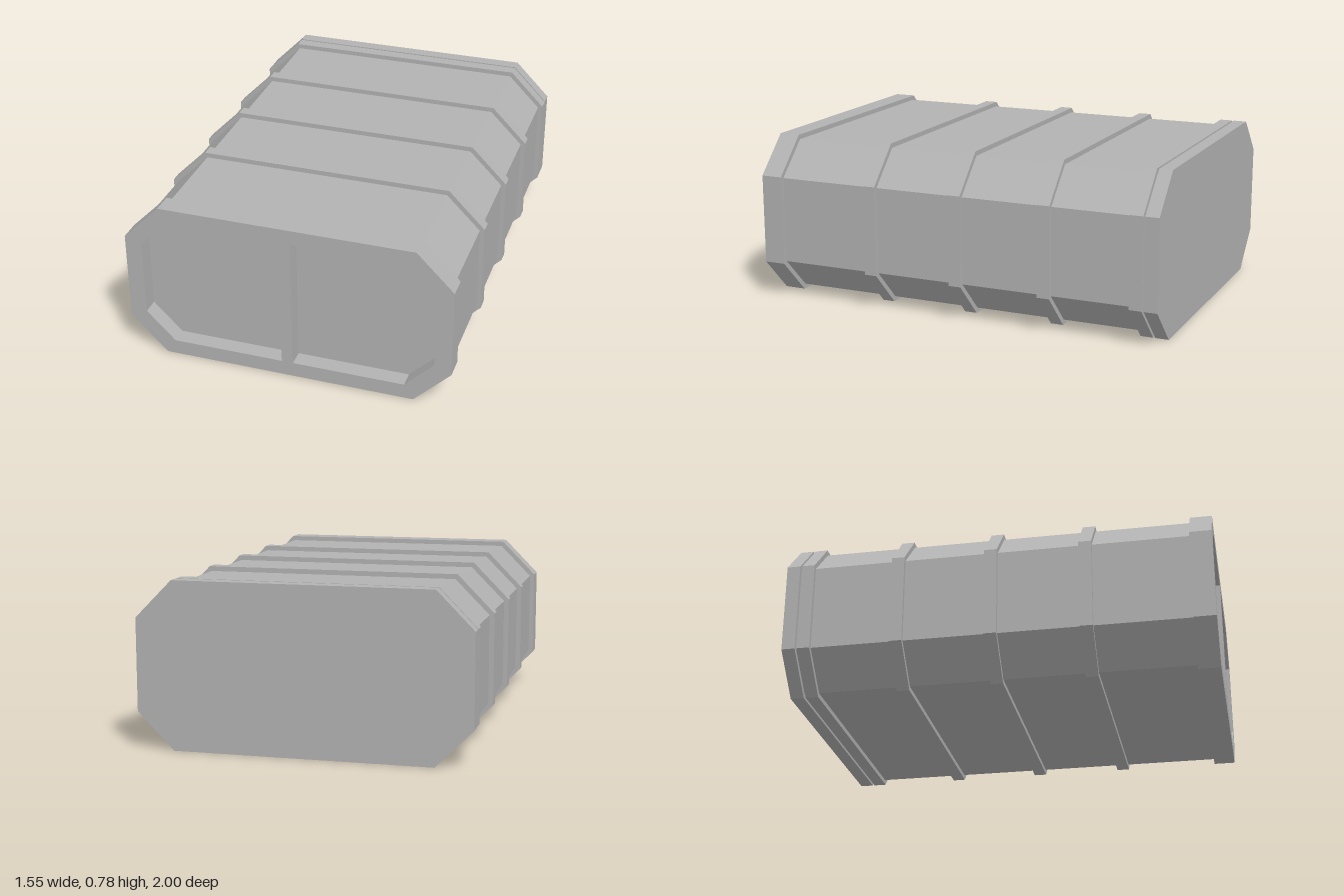
import * as THREE from 'three';

const CY = 0.39; // height of the container's axis

// Octagon with half width w, half height h, and corners starting at cx, cy
const octagon = (w, h, cx, cy) => [
  [cx, -h], [w, -cy], [w, cy], [cx, h], [-cx, h], [-w, cy], [-w, -cy], [-cx, -h],
].map(([x, y]) => new THREE.Vector2(x, y + CY));

export function createModel() {
  const model = new THREE.Group();
  const grey = new THREE.MeshStandardMaterial({ color: 0xb2b2b2 });
  grey.name = 'grey metal';

  const addSlab = (name, shape, z0, z1) => {
    const geometry = new THREE.ExtrudeGeometry(shape, { depth: z1 - z0, bevelEnabled: false });
    const mesh = new THREE.Mesh(geometry, grey);
    mesh.name = name;
    mesh.position.z = z0;
    model.add(mesh);
  };
  const outer = () => new THREE.Shape(octagon(0.773, 0.39, 0.6, 0.215));

  // Main hull, whose front end is the floor of the recesses
  addSlab('hull', new THREE.Shape(octagon(0.75, 0.367, 0.59, 0.207)), -0.97, 0.92);

  // Raised ribs around the hull
  for (const z of [0.39, -0.05, -0.49, -0.927]) addSlab('rib', outer(), z, z + 0.06);

  // Solid back plate
  addSlab('backPlate', outer(), -1, -0.937);

  // Front frame with two mirrored recesses beside a central post
  const frame = outer();
  for (const s of [-1, 1]) {
    const corners = [[0.027, 0.072], [0.557, 0.072], [0.693, 0.21], [0.693, 0.575], [0.557, 0.712], [0.027, 0.712]];
    frame.holes.push(new THREE.Path(corners.map(([x, y]) => new THREE.Vector2(s * x, y))));
  }
  addSlab('frontFrame', frame, 0.897, 1);

  return model;
}
